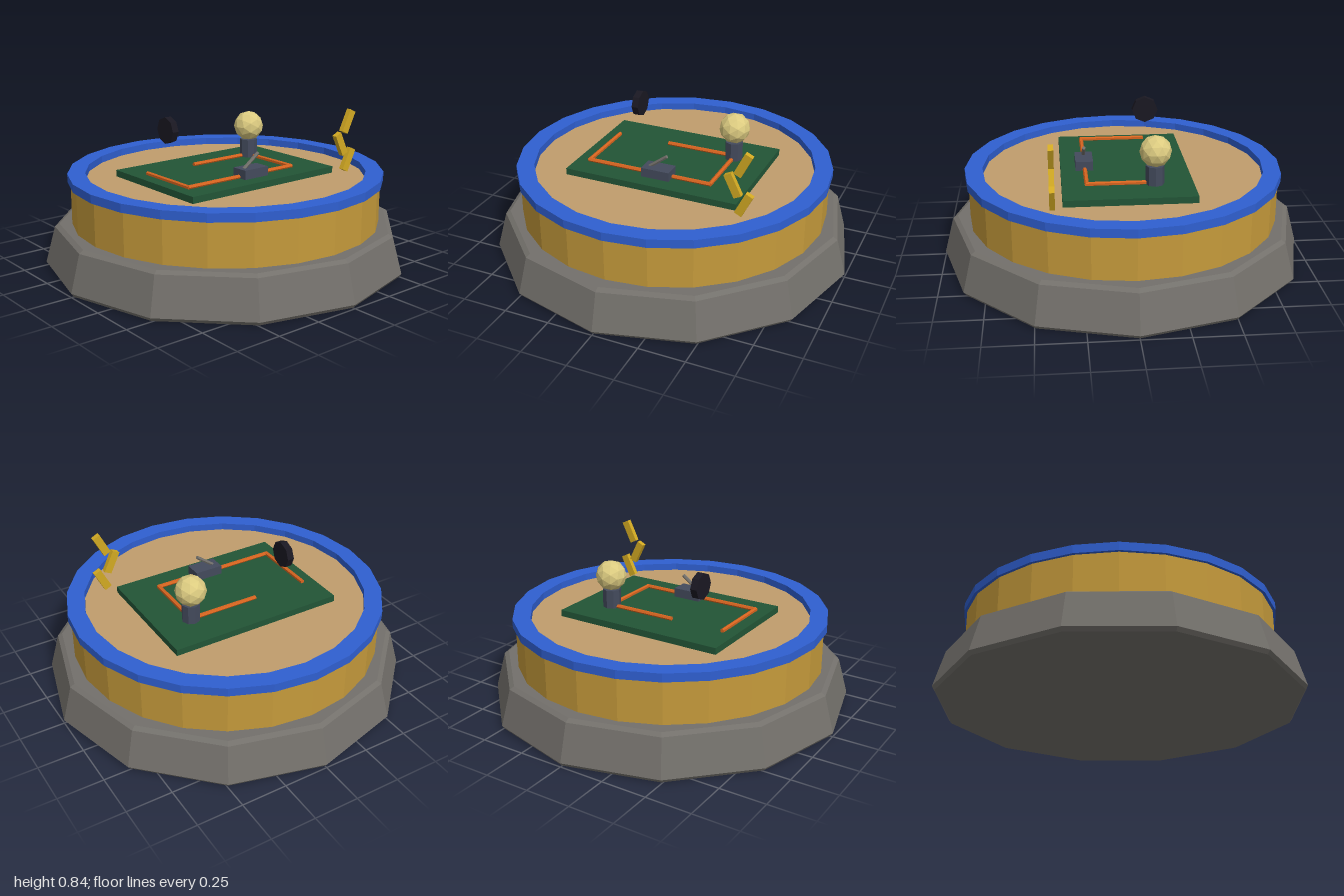
import * as THREE from 'three';

function mat(name, color) {
  const m = new THREE.MeshStandardMaterial({ color, flatShading: true });
  m.name = name;
  return m;
}

export function createModel() {
  const stone = mat('stone grey', 0x73706b);
  const brass = mat('brass', 0xc59a3b);
  const blue = mat('rim blue', 0x2f5fd0);
  const sand = mat('sand', 0xc09d6c);
  const green = mat('board green', 0x225536);
  const copper = mat('copper', 0xd6641f);
  const slate = mat('slate', 0x434a5c);
  const glow = mat('bulb yellow', 0xdccb80);
  const black = mat('black', 0x1a1822);
  const gold = mat('bolt gold', 0xd2a922);

  const model = new THREE.Group();
  const add = (name, geometry, material, x = 0, y = 0, z = 0) => {
    const mesh = new THREE.Mesh(geometry, material);
    mesh.name = name;
    mesh.position.set(x, y, z);
    model.add(mesh);
    return mesh;
  };
  const lathe = (pts, sides) =>
    new THREE.LatheGeometry(pts.map(([r, y]) => new THREE.Vector2(r, y)), sides);

  // Twelve-sided plinth with bevelled edges
  add('plinth', lathe([[0, 0], [0.985, 0], [1, 0.02], [0.945, 0.22], [0.92, 0.235], [0, 0.235]], 12), stone);

  // Drum, sandy floor and raised rim
  add('drum', new THREE.CylinderGeometry(0.85, 0.85, 0.235, 24), brass, 0, 0.3525, 0);
  add('floor', new THREE.CylinderGeometry(0.78, 0.78, 0.008, 24), sand, 0, 0.47, 0);
  add('rim', lathe([[0.77, 0.468], [0.866, 0.468], [0.866, 0.514], [0.77, 0.514], [0.77, 0.468]], 24), blue);

  // Circuit board
  add('board', new THREE.BoxGeometry(0.98, 0.04, 0.695), green, 0, 0.49, -0.003);

  // Open wire loop, one rod per straight run
  const path = [[-0.415, -0.15], [-0.415, 0.213], [0.295, 0.213], [0.295, -0.152], [-0.1, -0.152]]
    .map(([x, z]) => new THREE.Vector3(x, 0.518, z));
  const up = new THREE.Vector3(0, 1, 0);
  for (let i = 0; i < path.length - 1; i++) {
    const run = path[i + 1].clone().sub(path[i]);
    const mid = path[i].clone().add(path[i + 1]).multiplyScalar(0.5);
    const wire = add('wire', new THREE.CylinderGeometry(0.012, 0.012, run.length() + 0.01, 6), copper, mid.x, mid.y, mid.z);
    wire.quaternion.setFromUnitVectors(up, run.normalize());
  }

  // Switch with tilted lever
  add('switchBox', new THREE.BoxGeometry(0.16, 0.055, 0.096), slate, 0, 0.533, 0.215);
  add('switchLever', new THREE.CylinderGeometry(0.01, 0.01, 0.125, 6), stone, 0, 0.593, 0.215).rotation.z = -0.93;

  // Lamp
  add('lampSocket', new THREE.CylinderGeometry(0.05, 0.05, 0.105, 8), slate, 0.293, 0.56, -0.145);
  add('bulb', new THREE.IcosahedronGeometry(0.085, 1), glow, 0.293, 0.69, -0.147);

  // Floating disc standing on edge
  add('disc', new THREE.CylinderGeometry(0.073, 0.073, 0.038, 8), black, -0.28, 0.738, -0.15).rotation.z = Math.PI / 2;

  // Zigzag bolt of three bars
  for (const [x, y, tilt] of [[0.542, 0.768, -0.46], [0.491, 0.648, 0.46], [0.552, 0.552, -0.46]]) {
    add('boltBar', new THREE.BoxGeometry(0.043, 0.13, 0.028), gold, x, y, 0.397).rotation.z = tilt;
  }

  return model;
}
